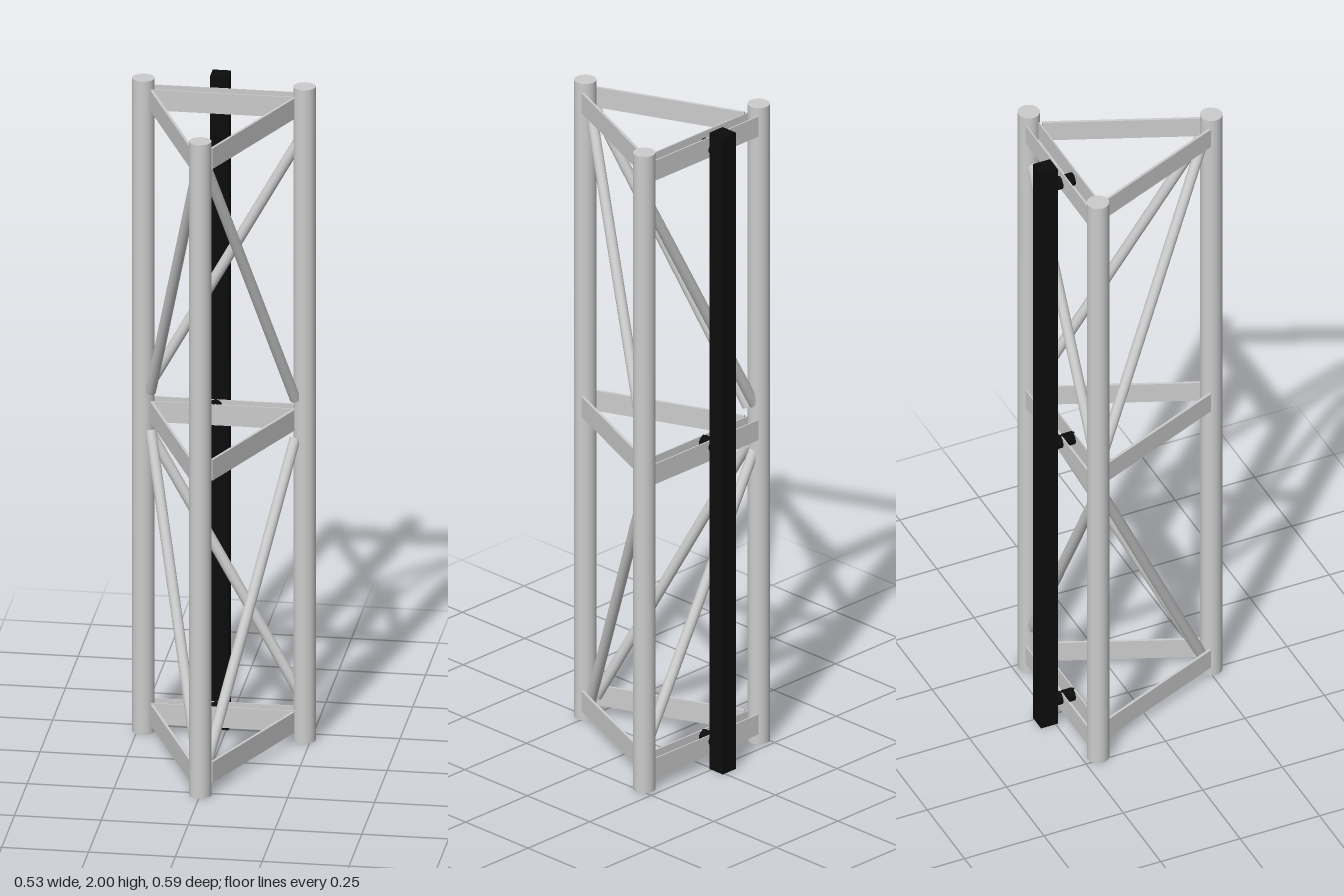
import * as THREE from 'three';

export function createModel() {
  const model = new THREE.Group();
  const grey = new THREE.MeshStandardMaterial({ color: 0xcccccc });
  const black = new THREE.MeshStandardMaterial({ color: 0x0c0c0c });

  function add(name, geometry, material, x = 0, y = 0, z = 0) {
    const mesh = new THREE.Mesh(geometry, material);
    mesh.name = name;
    mesh.position.set(x, y, z);
    model.add(mesh);
    return mesh;
  }

  // Round bar between two points
  function rod(name, a, b, radius) {
    const from = new THREE.Vector3(...a), to = new THREE.Vector3(...b);
    const dir = to.clone().sub(from);
    const mesh = add(name, new THREE.CylinderGeometry(radius, radius, dir.length(), 24), grey);
    mesh.position.copy(from).add(to).multiplyScalar(0.5);
    mesh.quaternion.setFromUnitVectors(new THREE.Vector3(0, 1, 0), dir.normalize());
  }

  // Three upright tubes
  const backZ = -0.204;
  const uprights = { leftUpright: [0.232, backZ], rightUpright: [-0.232, backZ], frontUpright: [0, 0.261] };
  for (const [name, [x, z]] of Object.entries(uprights)) {
    add(name, new THREE.CylinderGeometry(0.032, 0.032, 2, 40), grey, x, 1, z);
  }

  // Back crossbar section: a channel open at the top
  const w = 0.0215, h = 0.0315, t = 0.004;
  const channel = new THREE.Shape([
    [-w, -h], [w, -h], [w, h], [w - t, h], [w - t, -h + t], [-w + t, -h + t], [-w + t, h], [-w, h],
  ].map(([x, y]) => new THREE.Vector2(x, y)));
  const channelGeometry = new THREE.ExtrudeGeometry(channel, { depth: 0.42, bevelEnabled: false });
  channelGeometry.translate(0, 0, -0.21).rotateY(Math.PI / 2);

  // Horizontal frames with the bolts that hold the rail
  const levels = [[0.0625, 0.075], [0.9875, 1.0], [1.9415, 1.934]];
  for (const [y, boltY] of levels) {
    add('backCrossbar', channelGeometry, grey, 0, y, backZ);
    for (const side of [-1, 1]) {
      const plate = add('sideCrossbar', new THREE.BoxGeometry(0.008, 0.063, 0.453), grey, side * 0.116, y, 0.034);
      plate.rotation.y = -side * Math.atan2(0.174, 0.418);
    }
    const bolt = add('railBolt', new THREE.CylinderGeometry(0.0195, 0.0195, 0.075, 24), black, -0.0265, boltY, -0.2205);
    bolt.rotation.x = Math.PI / 2;
  }

  // Diagonal braces, mirrored above and below the middle frame
  for (const v of [-1, 1]) {
    const y = (d) => 0.99 + v * d;
    for (const side of [-1, 1]) {
      rod('sideBrace', [side * 0.208, y(0.06), -0.183], [side * 0.011, y(0.92), 0.226], 0.0155);
    }
    rod('backBrace', [-0.215, y(0.07), backZ], [0.225, y(0.86), backZ], 0.0155);
  }

  // Square rail behind the back face
  add('backRail', new THREE.BoxGeometry(0.053, 2, 0.053), black, -0.0195, 1, -0.2695);

  return model;
}
